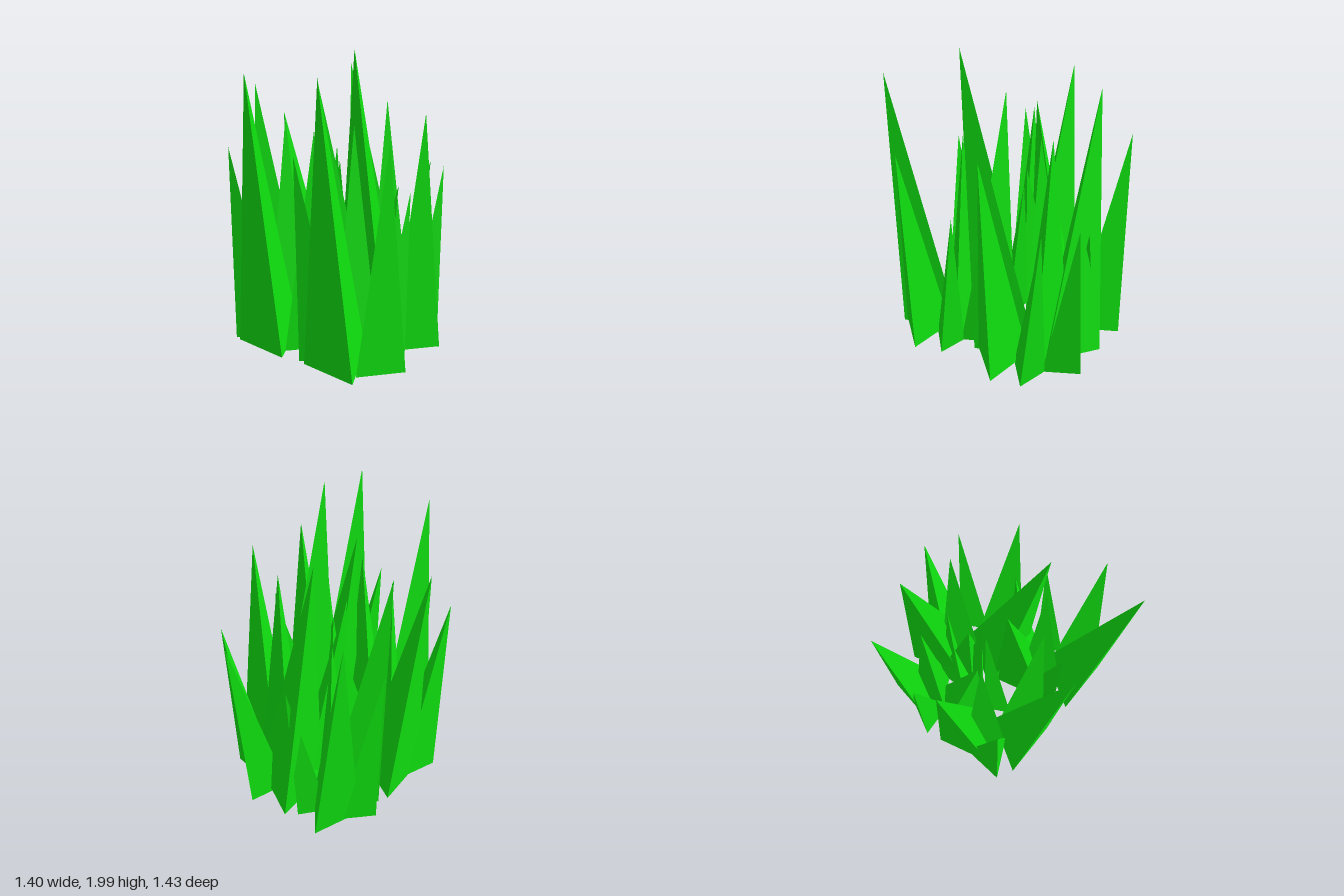
import * as THREE from 'three';

// Each blade: base centre, tip, base radius, turn of the base triangle in degrees
const BLADES = [
  { base: [0.367, 0.1, 0.39], tip: [0.49, 1.86, 0.66], radius: 0.231, turn: 66 },
  { base: [0.55, 0.11, 0.268], tip: [0.667, 1.5, 0.28], radius: 0.181, turn: 6.5 },
  { base: [0.143, 0.1, 0.135], tip: [-0.09, 1.75, 0.168], radius: 0.22, turn: -11 },
  { base: [0.263, 0.09, 0.196], tip: [0.245, 1.54, 0.172], radius: 0.171, turn: 4 },
  { base: [0.147, 0.09, 0.327], tip: [0.057, 1.36, 0.494], radius: 0.17, turn: -28 },
  { base: [0.255, 0.08, 0.032], tip: [0.314, 1.145, -0.143], radius: 0.135, turn: 80 },
  { base: [0.47, 0.08, 0.1], tip: [0.507, 1.145, -0.053], radius: 0.113, turn: 2 },
];

// The same tuft is planted four times with its own place, size and turn
const TUFTS = [
  { name: 'frontLeftTuft', position: [0, 0, 0], scale: 1, turn: 0 },
  { name: 'frontRightTuft', position: [-0.61, 0, 0.052], scale: 1, turn: 0 },
  { name: 'tallMiddleTuft', position: [-0.294, -0.05, -0.556], scale: 1.1, turn: 0 },
  { name: 'smallBackTuft', position: [-0.545, -0.045, -0.481], scale: 0.875, turn: -23.7 },
];

// Three-sided spike standing on its base centre and leaning towards its tip
function bladeGeometry({ base, tip, radius, turn }) {
  const foot = new THREE.Vector3(...base);
  const axis = new THREE.Vector3(...tip).sub(foot);
  const height = axis.length();
  const lean = new THREE.Quaternion().setFromUnitVectors(
    new THREE.Vector3(0, 1, 0), axis.normalize());
  return new THREE.ConeGeometry(radius, height, 3)
    .translate(0, height / 2, 0)
    .rotateY(THREE.MathUtils.degToRad(turn))
    .applyQuaternion(lean)
    .translate(...base);
}

export function createModel() {
  const grassGreen = new THREE.MeshStandardMaterial({ color: 0x10e010, flatShading: true });
  grassGreen.name = 'grassGreen';

  const model = new THREE.Group();
  model.name = 'grass';
  const geometries = BLADES.map(bladeGeometry);

  for (const { name, position, scale, turn } of TUFTS) {
    const tuft = new THREE.Group();
    tuft.name = name;
    geometries.forEach((geometry, i) => {
      const blade = new THREE.Mesh(geometry, grassGreen);
      blade.name = `blade${i + 1}`;
      tuft.add(blade);
    });
    tuft.position.set(...position);
    tuft.scale.setScalar(scale);
    tuft.rotation.y = THREE.MathUtils.degToRad(turn);
    model.add(tuft);
  }
  return model;
}
